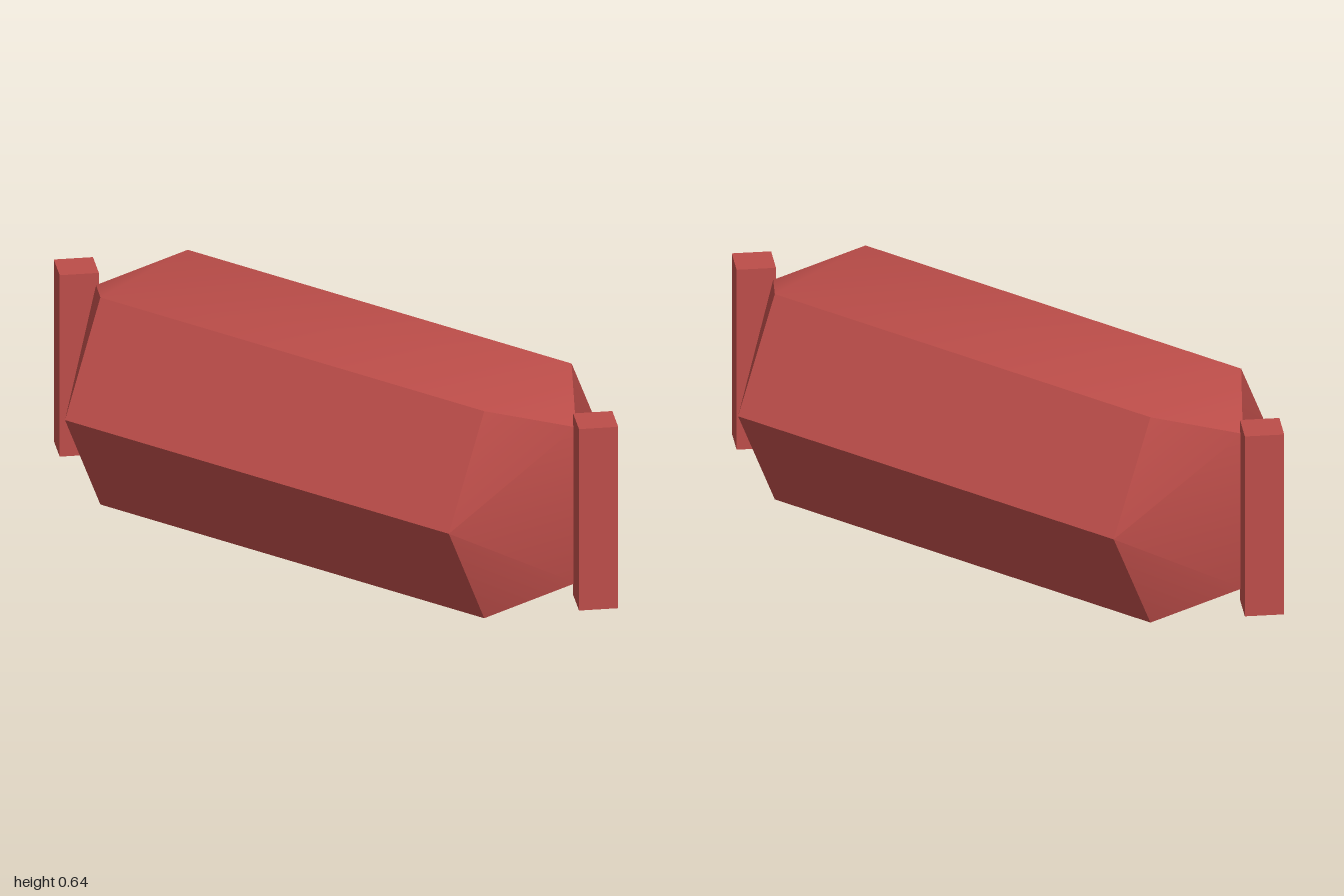
import * as THREE from 'three';
import { toCreasedNormals } from 'three/addons/utils/BufferGeometryUtils.js';

const HALF_BODY = 0.68, TIP_Z = 0.85;

// Half-section: hexagon corners (0-5), then the upper and lower ends of the wedge tip (6, 7)
const SECTION = [
  [0.38, 0.323], [0.21, 0.645], [-0.21, 0.645], [-0.38, 0.323], [-0.21, 0], [0.21, 0],
  [0, 0.565], [0, 0.08],
];
const CAP = [
  [0, 1, 6], [1, 2, 6], [2, 3, 6], [3, 7, 6], [3, 4, 7], [4, 5, 7], [5, 0, 7], [0, 6, 7],
];

// Hexagonal prism closed at both ends by a wedge with a vertical edge
function bodyGeometry() {
  const positions = [], index = [];
  for (const side of [1, -1]) {
    SECTION.forEach(([x, y], i) => positions.push(x, y, side * (i < 6 ? HALF_BODY : TIP_Z)));
  }
  for (let i = 0; i < 6; i++) {
    const j = (i + 1) % 6;
    index.push(i, i + 8, j + 8, i, j + 8, j);
  }
  for (const [a, b, c] of CAP) index.push(a, b, c, c + 8, b + 8, a + 8);

  const geometry = new THREE.BufferGeometry();
  geometry.setAttribute('position', new THREE.Float32BufferAttribute(positions, 3));
  geometry.setIndex(index);
  return toCreasedNormals(geometry, THREE.MathUtils.degToRad(30));
}

export function createModel() {
  const model = new THREE.Group();
  model.name = 'hexagonalCapsule';
  const red = new THREE.MeshStandardMaterial({ color: 0xbc4d49 });
  red.name = 'brick red';

  const body = new THREE.Mesh(bodyGeometry(), red);
  body.name = 'body';
  model.add(body);

  // Upright square bars, set cornerwise against each tip
  const width = 0.08 * Math.SQRT2;
  const barGeometry = new THREE.BoxGeometry(width, 0.565, width).rotateY(Math.PI / 4);
  for (const [name, z] of [['frontBar', 0.92], ['backBar', -0.92]]) {
    const bar = new THREE.Mesh(barGeometry, red);
    bar.name = name;
    bar.position.set(0, 0.323, z);
    model.add(bar);
  }
  return model;
}
